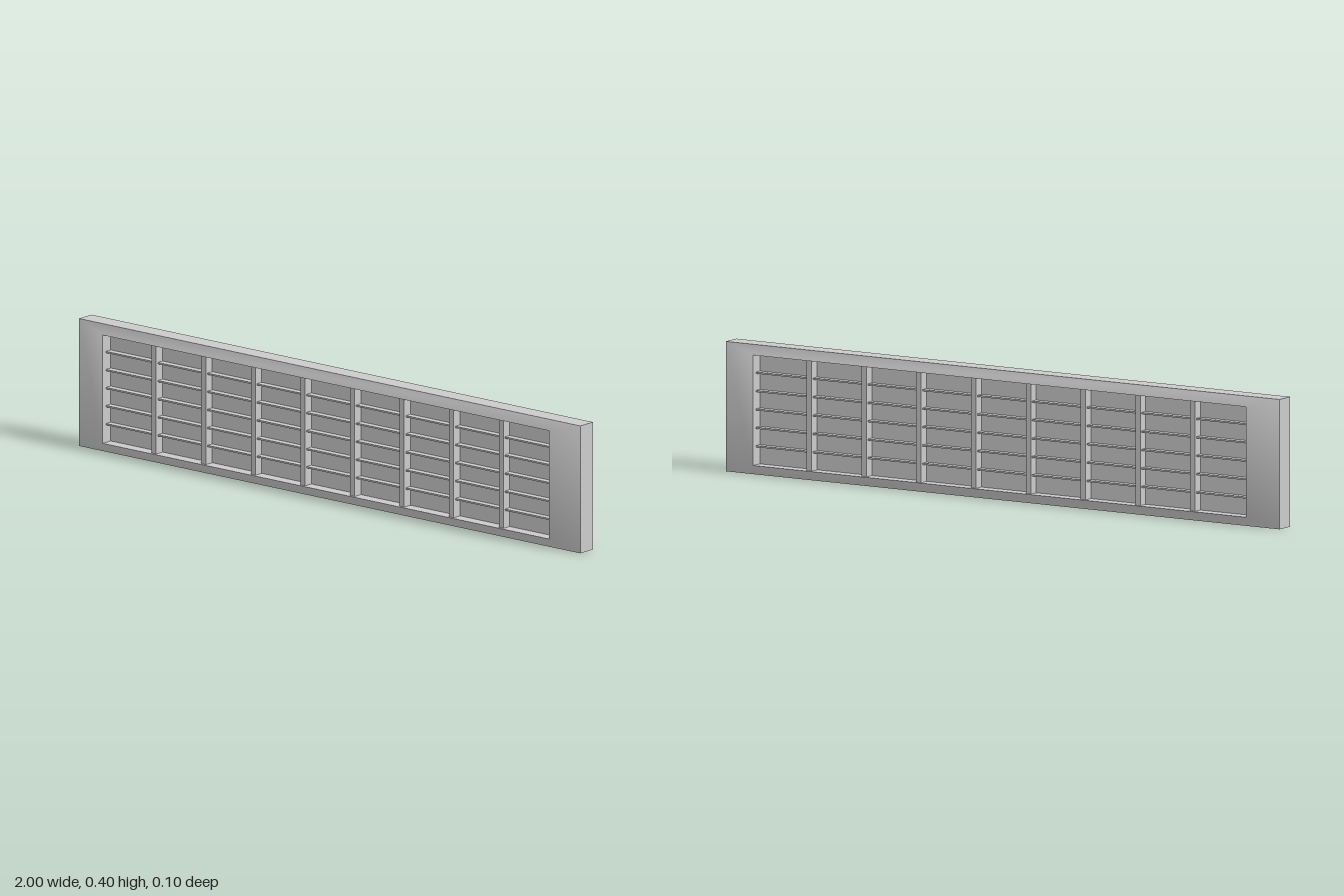
import * as THREE from 'three';

const material = new THREE.MeshStandardMaterial({ color: 0xcccccc });

const MID = 0.2;                       // height of the centre line
const OUTER = [1, 0.2], INNER = [0.89, 0.17]; // half sizes of frame and opening
const RIM_Z = 0.03, LIP_Z = 0.048;     // half depth at the outer rim and inner lip
const COLUMNS = 9, ROWS = 6;

// Four-sided band joining two rectangular loops, each given as [halfW, halfH], z
function band(sizeA, zA, sizeB, zB, smooth) {
  const positions = [], index = [];
  for (const [[w, h], z] of [[sizeA, zA], [sizeB, zB]]) {
    for (const [sx, sy] of [[-1, -1], [1, -1], [1, 1], [-1, 1]]) positions.push(sx * w, MID + sy * h, z);
  }
  for (let i = 0; i < 4; i++) {
    const j = (i + 1) % 4;
    index.push(i, j, j + 4, i, j + 4, i + 4);
  }
  let geometry = new THREE.BufferGeometry();
  geometry.setAttribute('position', new THREE.Float32BufferAttribute(positions, 3));
  geometry.setIndex(index);
  if (!smooth) geometry = geometry.toNonIndexed();
  geometry.computeVertexNormals();
  return geometry;
}

function add(parent, name, geometry, x = 0, y = 0, z = 0) {
  const mesh = new THREE.Mesh(geometry, material);
  mesh.name = name;
  mesh.position.set(x, y, z);
  parent.add(mesh);
}

export function createModel() {
  const model = new THREE.Group();
  model.name = 'ventGrille';

  // Frame: outer rim, sloping faces on both sides, walls of the opening
  const frame = new THREE.Group();
  frame.name = 'frame';
  add(frame, 'outerRim', band(OUTER, -RIM_Z, OUTER, RIM_Z, false));
  add(frame, 'frontBevel', band(OUTER, RIM_Z, INNER, LIP_Z, true));
  add(frame, 'openingWall', band(INNER, LIP_Z, INNER, -LIP_Z, false));
  add(frame, 'backBevel', band(INNER, -LIP_Z, OUTER, -RIM_Z, true));
  model.add(frame);

  // Panel closing the middle of the opening
  const width = INNER[0] * 2, height = INNER[1] * 2;
  add(model, 'panel', new THREE.BoxGeometry(width, height, 0.02), 0, MID, 0);

  // Thin horizontal slats standing out on both sides of the panel
  const slats = new THREE.Group();
  slats.name = 'slats';
  const slat = new THREE.BoxGeometry(width, 0.005, 0.064);
  for (let i = 1; i < ROWS; i++) add(slats, 'slat', slat, 0, MID - INNER[1] + (height * i) / ROWS, 0);
  model.add(slats);

  // Upright bars crossing in front of the slats
  const bars = new THREE.Group();
  bars.name = 'bars';
  const bar = new THREE.BoxGeometry(0.018, height, 0.08);
  for (let i = 1; i < COLUMNS; i++) add(bars, 'bar', bar, -INNER[0] + (width * i) / COLUMNS, MID, 0);
  model.add(bars);

  return model;
}
